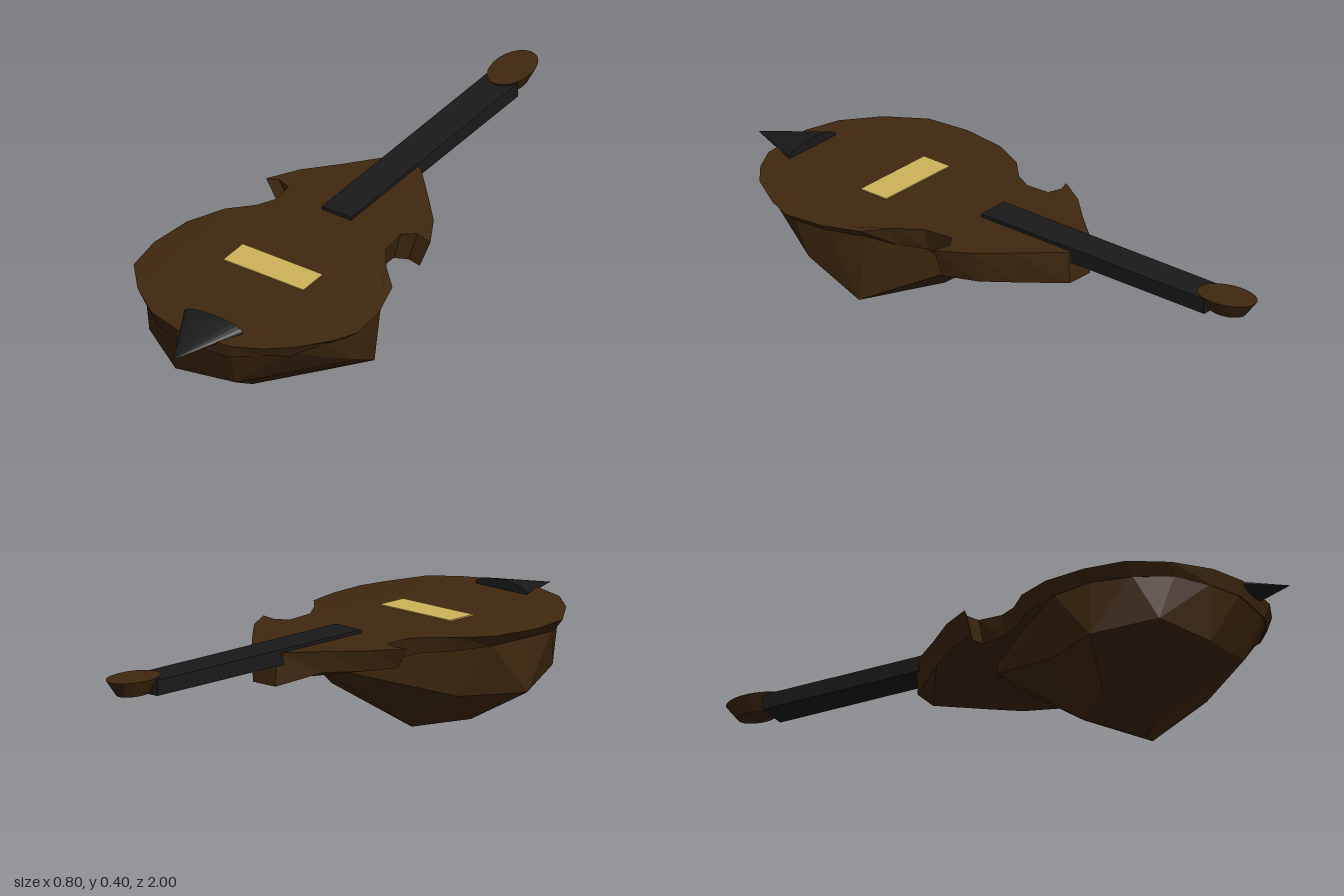
import * as THREE from 'three';
import { ConvexGeometry } from 'three/addons/geometries/ConvexGeometry.js';

const mat = (color) => new THREE.MeshStandardMaterial({ color, flatShading: true });
const WOOD = mat(0x40280f), BLACK = mat(0x1a1a1a), GOLD = mat(0xcdb45a);

// Body outline seen from above, as x, z
const OUTLINE = [
  [-0.06, -0.3], [-0.16, -0.18], [-0.25, -0.08], [-0.31, 0.02], [-0.27, 0.005], [-0.225, 0.02],
  [-0.22, 0.1], [-0.25, 0.16], [-0.32, 0.23], [-0.38, 0.35], [-0.4, 0.5], [-0.38, 0.64], [-0.29, 0.75],
  [-0.18, 0.835], [-0.06, 0.87], [0.13, 0.855], [0.22, 0.81], [0.3, 0.745], [0.37, 0.63], [0.4, 0.55],
  [0.39, 0.42], [0.35, 0.29], [0.28, 0.22], [0.22, 0.14], [0.21, 0.04], [0.25, 0.01], [0.31, 0.025],
  [0.25, -0.08], [0.17, -0.17], [0.05, -0.3],
];

// Moves every vertex of a geometry by a rule
function reshape(geo, rule) {
  const p = geo.attributes.position, v = new THREE.Vector3();
  for (let i = 0; i < p.count; i++) {
    rule(v.fromBufferAttribute(p, i));
    p.setXYZ(i, v.x, v.y, v.z);
  }
  geo.computeVertexNormals();
  return geo;
}

export function createModel() {
  const model = new THREE.Group();
  const add = (name, geo, material, x = 0, y = 0, z = 0) => {
    const mesh = new THREE.Mesh(geo, material);
    mesh.name = name;
    mesh.position.set(x, y, z);
    model.add(mesh);
  };

  // Nearly flat top with an uneven undercut rim, deeper towards the horns
  const shape = new THREE.Shape(OUTLINE.map(([x, z]) => new THREE.Vector2(x, z)));
  const top = new THREE.ExtrudeGeometry(shape, { depth: 1, bevelEnabled: false }).rotateX(Math.PI / 2);
  add('bodyTop', reshape(top, (v) => {
    if (v.y > -0.5) {
      v.y = 0.371 - Math.max(0, Math.abs(v.x) - 0.3) * (v.x > 0 ? 0.14 : 0.08);
      return;
    }
    const horn = v.x < -0.1 ? 0.3 : 0.262;
    const rimY = 0.328 + 0.008 * Math.sin(v.x * 40);
    v.y = THREE.MathUtils.mapLinear(THREE.MathUtils.clamp(v.z, 0, 0.3), 0, 0.3, horn, rimY);
    v.x *= v.z < 0.05 ? 0.87 : 0.91;
    if (v.z > 0.25) v.z = 0.5 + (v.z - 0.5) * 0.97;
  }), WOOD);

  // Faceted bowl underneath
  const rim = OUTLINE.filter(([, z]) => z > 0.28)
    .map(([x, z]) => new THREE.Vector3(x * 0.905, 0.335, 0.5 + (z - 0.5) * 0.97));
  const facets = [
    [-0.362, 0.155, 0.5], [-0.28, 0.195, 0.7], [-0.12, 0.16, 0.79], [0.1, 0.185, 0.78], [0.35, 0.21, 0.5],
    [0.31, 0.1, 0.33], [0.15, 0.037, 0.4], [-0.06, 0.03, 0.3], [-0.01, 0, 0.53], [-0.18, 0.05, 0.44],
    [-0.26, 0.16, 0.3], [-0.06, 0.26, -0.01], [0.06, 0.26, -0.01], [-0.08, 0.335, 0], [0.08, 0.335, 0],
  ].map((p) => new THREE.Vector3(...p));
  add('bowl', new ConvexGeometry([...rim, ...facets]), WOOD);

  // Neck
  add('neck', new THREE.BoxGeometry(0.11, 0.05, 0.91), BLACK, -0.015, 0.357, -0.39);

  // Oval headstock, narrower below and turned a little
  const head = new THREE.CylinderGeometry(1, 0.62, 0.052, 24).scale(0.067, 1, 0.106).rotateY(0.06);
  add('headstock', head, WOOD, -0.014, 0.366, -0.894);

  // Bridge
  add('bridge', new THREE.BoxGeometry(0.3, 0.02, 0.105), GOLD, -0.01, 0.364, 0.418);

  // Flattened cone at the tail, its tip drooping forward
  const tail = new THREE.ConeGeometry(0.11, 0.22, 28).rotateX(Math.PI / 2).scale(1, 0.24, 1);
  add('tailpiece', reshape(tail, (v) => { v.y -= (v.z + 0.11) * 0.09; }), BLACK, 0.014, 0.375, 0.886);

  return model;
}
